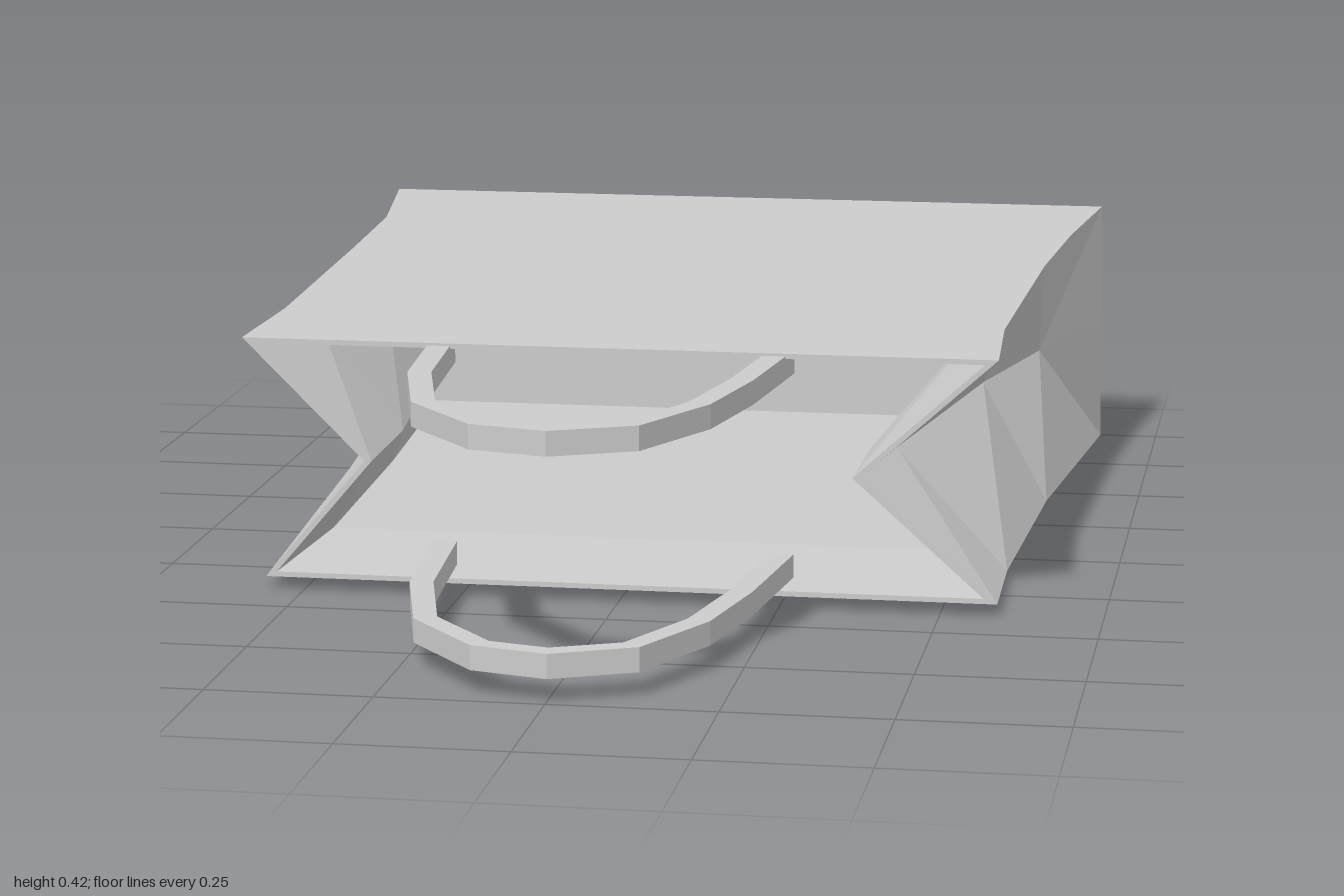
import * as THREE from 'three';

// Bag sections from back to front: z, floor y, top y, then x of each corner and fold
const SECTIONS = [
  { z: -1.0, y0: 0.0, y1: 0.42, BL: -0.62, BR: 0.65, MR: 0.648, TR: 0.645, TL: -0.65, ML: -0.635 },
  { z: -0.7, y0: 0.004, y1: 0.416, BL: -0.6, BR: 0.625, MR: 0.56, TR: 0.612, TL: -0.607, ML: -0.51 },
  { z: -0.4, y0: 0.008, y1: 0.411, BL: -0.58, BR: 0.6, MR: 0.49, TR: 0.59, TL: -0.597, ML: -0.485 },
  { z: 0.15, y0: 0.016, y1: 0.403, BL: -0.565, BR: 0.582, MR: 0.405, TR: 0.572, TL: -0.583, ML: -0.43 },
  { z: 0.39, y0: 0.02, y1: 0.4, BL: -0.56, BR: 0.588, MR: 0.375, TR: 0.585, TL: -0.592, ML: -0.4 },
];

// Six-point section, shrunk inwards by the paper thickness d
function ring(s, d, dz = 0) {
  const half = (s.y1 - s.y0) / 2;
  const mid = s.y0 + half;
  const angle = (x, fold) => Math.atan2(half, Math.abs(x) - Math.abs(fold));
  const corner = (x, fold) => x - Math.sign(x) * d / Math.tan(angle(x, fold) / 2);
  const inset = (x, fold) => fold - Math.sign(fold) * d / Math.sin(angle(x, fold));
  const z = s.z + dz;
  return [
    [corner(s.BL, s.ML), s.y0 + d, z],
    [corner(s.BR, s.MR), s.y0 + d, z],
    [inset(s.TR, s.MR), mid, z],
    [corner(s.TR, s.MR), s.y1 - d, z],
    [corner(s.TL, s.ML), s.y1 - d, z],
    [inset(s.TL, s.ML), mid, z],
  ];
}

// Outer skin runs forwards to the rim, then the lining runs back inside
function bagGeometry() {
  const outer = SECTIONS.map((s) => ring(s, 0));
  const lining = SECTIONS.map((s, i) => ring(s, i === 4 ? 0.008 : 0.03, i === 0 ? 0.03 : 0)).reverse();
  const rings = [...outer, ...lining];
  const pos = [];
  const tri = (a, b, c) => pos.push(...a, ...b, ...c);
  for (let i = 0; i < rings.length - 1; i++) {
    for (let j = 0; j < 6; j++) {
      const k = (j + 1) % 6;
      const a = rings[i][j], b = rings[i][k], c = rings[i + 1][k], d = rings[i + 1][j];
      if ((j % 3 === 1) !== (i === 0)) {
        tri(a, b, d);
        tri(b, c, d);
      } else {
        tri(a, b, c);
        tri(a, c, d);
      }
    }
  }
  // Base of the bag, outside and inside
  const inside = rings[rings.length - 1];
  for (let j = 1; j < 5; j++) {
    tri(outer[0][0], outer[0][j + 1], outer[0][j]);
    tri(inside[0], inside[j], inside[j + 1]);
  }
  const geo = new THREE.BufferGeometry();
  geo.setAttribute('position', new THREE.Float32BufferAttribute(pos, 3));
  geo.computeVertexNormals();
  return geo;
}

// Flat looped strap: a path (x, z) widened to both sides and extruded in y
function handleGeometry(width, height) {
  const path = [
    [-0.285, 0.33], [-0.265, 0.6], [-0.213, 0.815], [-0.105, 0.95], [0, 0.978],
    [0.112, 0.925], [0.185, 0.765], [0.22, 0.58], [0.248, 0.33],
  ].map(([x, z]) => new THREE.Vector2(x, z));
  const side = (sign) => path.map((p, i) => {
    const next = path[Math.min(i + 1, path.length - 1)];
    const prev = path[Math.max(i - 1, 0)];
    const t = next.clone().sub(prev).normalize();
    return new THREE.Vector2(p.x - t.y * sign * width / 2, p.y + t.x * sign * width / 2);
  });
  const shape = new THREE.Shape([...side(1), ...side(-1).reverse()]);
  const geo = new THREE.ExtrudeGeometry(shape, { depth: height, bevelEnabled: false });
  geo.rotateX(Math.PI / 2);
  return geo;
}

export function createModel() {
  const group = new THREE.Group();
  group.name = 'paperBag';
  const paper = new THREE.MeshStandardMaterial({ color: 0xcccccc, flatShading: true });
  paper.name = 'paper grey';

  const body = new THREE.Mesh(bagGeometry(), paper);
  body.name = 'bagBody';
  group.add(body);

  // One strap on each broad wall
  const strap = handleGeometry(0.036, 0.037);
  for (const [name, top] of [['upperHandle', 0.396], ['lowerHandle', 0.073]]) {
    const handle = new THREE.Mesh(strap, paper);
    handle.name = name;
    handle.position.y = top;
    group.add(handle);
  }
  return group;
}
